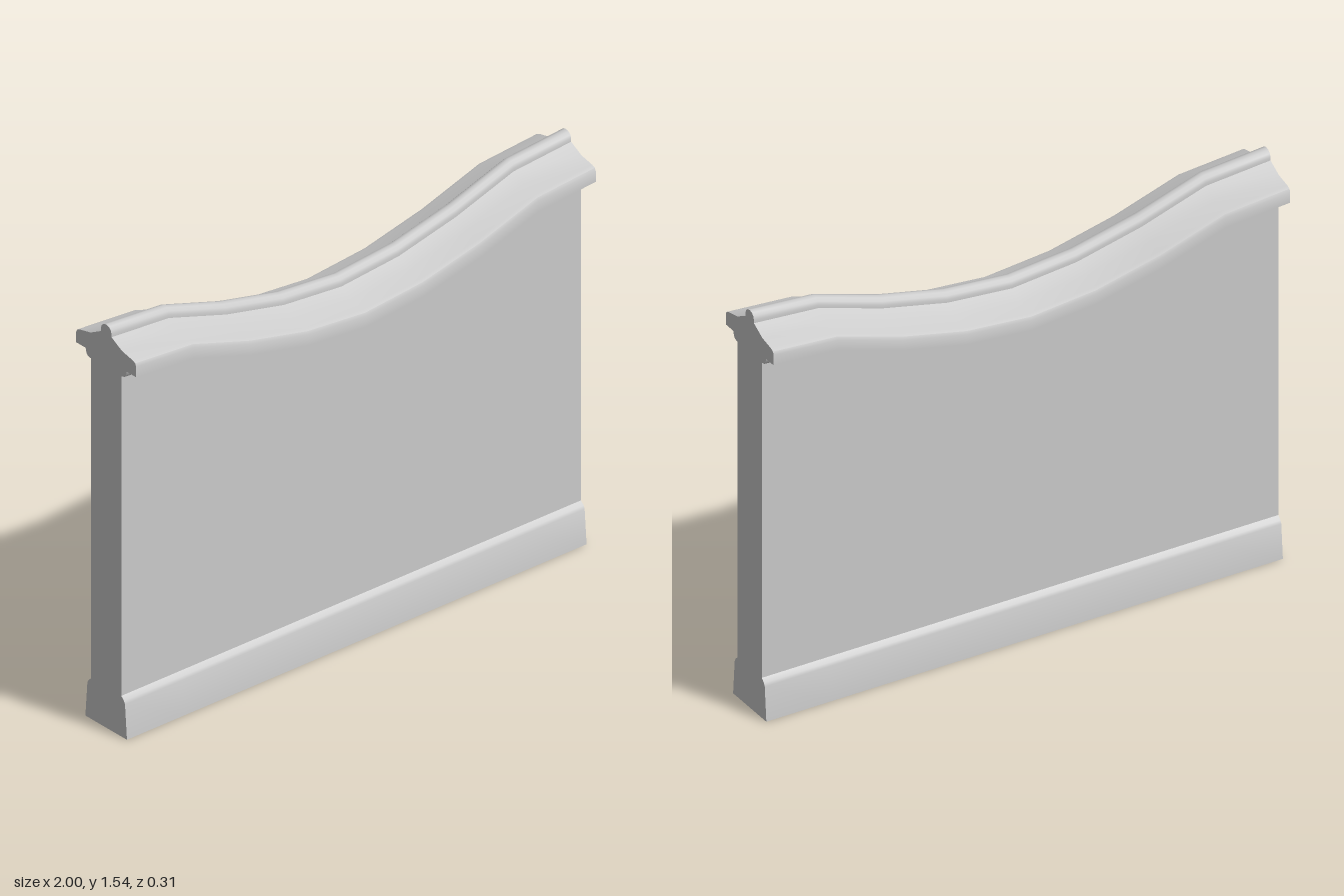
import * as THREE from 'three';
import { toCreasedNormals } from 'three/addons/utils/BufferGeometryUtils.js';

// How far the top of the wall sags at nine evenly spaced stations
const halfSag = [0, 0.02, 0.1, 0.157, 0.18];
const sag = [...halfSag, ...halfSag.slice(0, 4).reverse()];
const stationX = (i) => -1 + (2 * i) / (sag.length - 1);

// Sweeps a symmetric section along x. Each [z, y, follow] point runs down the
// front side; follow = 1 makes it dip with the curve.
function sweep(name, half, closeBottom = false) {
  const closeTop = half[0][0] === 0;
  const back = half.filter((p) => p[0] > 0).reverse().map(([z, y, f]) => [-z, y, f]);
  const ring = [...half, ...back];
  const n = ring.length;
  const out = [];
  const at = (i, j) => [stationX(i), ring[j][1] - sag[i] * ring[j][2], ring[j][0]];
  const tri = (a, b, c) => out.push(...a, ...b, ...c);

  // Long faces, leaving open the seams hidden between parts
  for (let j = 0; j < n; j++) {
    if (j === half.length - 1 && !closeBottom) continue;
    if (j === n - 1 && !closeTop) continue;
    const k = (j + 1) % n;
    for (let i = 0; i < sag.length - 1; i++) {
      tri(at(i, j), at(i, k), at(i + 1, k));
      tri(at(i, j), at(i + 1, k), at(i + 1, j));
    }
  }

  // End faces
  const outline = ring.map(([z, y]) => new THREE.Vector2(z, y));
  for (const [a, b, c] of THREE.ShapeUtils.triangulateShape(outline.slice(), [])) {
    const ccw = THREE.ShapeUtils.area([outline[a], outline[b], outline[c]]) > 0;
    const [p, q] = ccw ? [b, c] : [c, b];
    tri(at(0, a), at(0, p), at(0, q));
    const e = sag.length - 1;
    tri(at(e, a), at(e, q), at(e, p));
  }

  const geometry = new THREE.BufferGeometry();
  geometry.setAttribute('position', new THREE.Float32BufferAttribute(out, 3));
  const mesh = new THREE.Mesh(
    toCreasedNormals(geometry, 0.6),
    new THREE.MeshStandardMaterial({ color: 0xcccccc })
  );
  mesh.name = name;
  return mesh;
}

export function createModel() {
  const group = new THREE.Group();
  group.name = 'curvedWall';

  // Rounded ridge bead, from its crown down to the slope
  const bead = [];
  for (let i = 0; i <= 3; i++) {
    const a = (i / 3) * (Math.PI / 2);
    bead.push([0.027 * Math.sin(a), 1.515 + 0.025 * Math.cos(a), 1]);
  }

  // Coping: bead, sloped roof, fascia, underside and small moulding
  const coping = [
    ...bead,
    [0.027, 1.503, 1],
    [0.08, 1.474, 1],
    [0.135, 1.462, 1],
    [0.148, 1.456, 1],
    [0.153, 1.445, 1],
    [0.153, 1.405, 1],
    [0.105, 1.405, 1],
    [0.1, 1.387, 1],
    [0.093, 1.38, 1],
    [0.077, 1.376, 1],
  ];

  // Wall slab: top edge follows the curve, bottom edge is level
  const wall = [
    [0.077, 1.376, 1],
    [0.077, 0.155, 0],
  ];

  // Plinth with a bevelled shoulder and flared sides
  const plinth = [
    [0.077, 0.155, 0],
    [0.091, 0.142, 0],
    [0.096, 0.13, 0],
    [0.106, 0, 0],
  ];

  group.add(sweep('coping', coping), sweep('wall', wall), sweep('plinth', plinth, true));
  return group;
}
